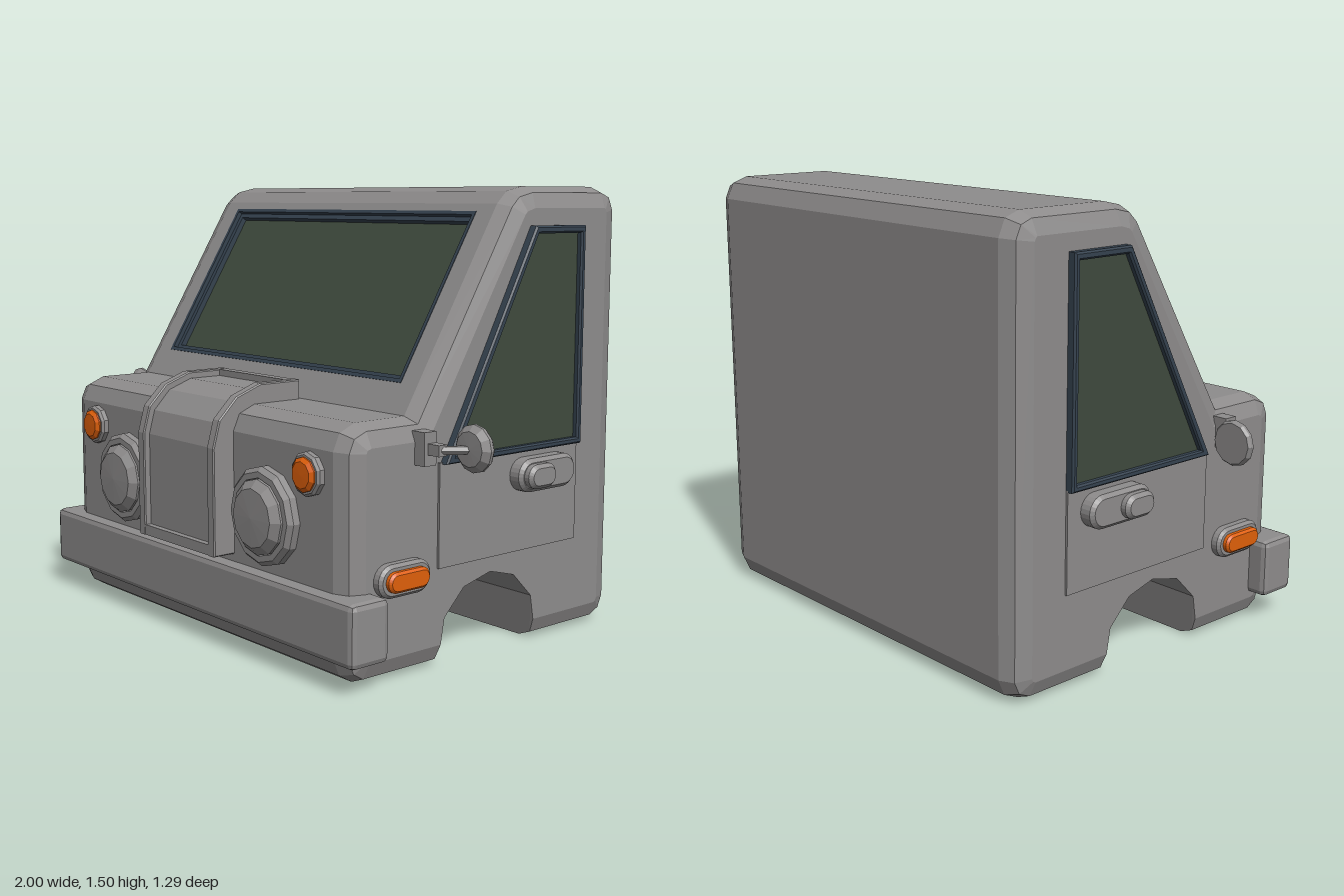
import * as THREE from 'three';
import { RoundedBoxGeometry } from 'three/addons/geometries/RoundedBoxGeometry.js';

const mat = (name, color) => {
  const m = new THREE.MeshStandardMaterial({ color });
  m.name = name;
  return m;
};

// Facet a geometry, optionally mirrored across x = 0
function flat(geo, mirrored = false) {
  const g = geo.index ? geo.toNonIndexed() : geo.clone();
  g.deleteAttribute('uv');
  g.clearGroups();
  if (mirrored) {
    const a = g.attributes.position;
    const v = new THREE.Vector3(), w = new THREE.Vector3();
    g.scale(-1, 1, 1);
    for (let i = 0; i < a.count; i += 3) {
      v.fromBufferAttribute(a, i + 1);
      w.fromBufferAttribute(a, i + 2);
      a.setXYZ(i + 1, w.x, w.y, w.z);
      a.setXYZ(i + 2, v.x, v.y, v.z);
    }
  }
  g.computeVertexNormals();
  return g;
}

// Side outlines are given as [z, y] and extruded along x from x0 to x1
const sidePoints = pts => pts.map(([z, y]) => new THREE.Vector2(-z, y));
function plate(outline, x0, x1, bevel = 0, hole = null) {
  const shape = outline instanceof THREE.Shape ? outline : new THREE.Shape(sidePoints(outline));
  if (hole) shape.holes.push(new THREE.Path(sidePoints(hole)));
  const g = new THREE.ExtrudeGeometry(shape, {
    depth: x1 - x0 - 2 * bevel, bevelEnabled: bevel > 0, bevelSize: bevel,
    bevelThickness: bevel, bevelOffset: -bevel, bevelSegments: 1, curveSegments: 6,
  });
  return g.rotateY(Math.PI / 2).translate(x0 + bevel, 0, 0);
}

function stadium(z, y, length, height) {
  const r = height / 2, h = length / 2 - r, s = new THREE.Shape();
  s.absarc(-z + h, y, r, -Math.PI / 2, Math.PI / 2);
  s.absarc(-z - h, y, r, Math.PI / 2, Math.PI * 1.5);
  return s;
}

const rect = (C, hw, y0, y1) => new C([[-hw, y0], [hw, y0], [hw, y1], [-hw, y1]].map(p => new THREE.Vector2(...p)));

// Round part turned about the z axis, profile as [radius, z]
const turned = (pts, sides, x, y, z) =>
  new THREE.LatheGeometry(pts.map(p => new THREE.Vector2(...p)), sides).rotateX(Math.PI / 2).translate(x, y, z);

const box = (w, h, d, x, y, z) => new THREE.BoxGeometry(w, h, d).translate(x, y, z);

function rod(a, b, r) {
  const A = new THREE.Vector3(...a), B = new THREE.Vector3(...b), d = B.clone().sub(A);
  const q = new THREE.Quaternion().setFromUnitVectors(new THREE.Vector3(0, 1, 0), d.clone().normalize());
  return new THREE.CylinderGeometry(r, r, d.length(), 6).applyQuaternion(q)
    .translate(...A.add(B).multiplyScalar(0.5).toArray());
}

// Shell profile: z, y at full size, then z, y on the inset side face
const SHELL = [
  [-.57, 0, -.56, .07], [-.26, 0, -.25, .07], [-.235, .155], [-.15, .24], [-.04, .27],
  [.08, .24], [.165, .155], [.19, 0, .18, .07], [.49, 0, .48, .07], [.54, .03, .49, .075],
  [.565, .09, .495, .085], [.565, .72, .495, .715], [.54, .775, .49, .725], [.48, .8, .475, .73],
  [.28, .8, .24, .73], [-.117, 1.445, -.175, 1.41], [-.16, 1.485, -.185, 1.42],
  [-.23, 1.5, -.22, 1.43], [-.57, 1.5, -.565, 1.43], [-.625, 1.48, -.57, 1.425],
  [-.65, 1.425, -.575, 1.415], [-.65, .08, -.575, .085], [-.625, .025, -.57, .075],
];
const SCREEN = 14; // profile segment that holds the windscreen

function shellGeometry() {
  const n = SHELL.length, pos = [];
  const rings = [[-.79, 1], [-.77, .29], [-.72, 0], [.72, 0], [.77, .29], [.79, 1]].map(([x, t]) =>
    SHELL.map(([z, y, qz = z, qy = y]) => [x, y + (qy - y) * t, z + (qz - z) * t]));
  for (let r = 0; r < rings.length - 1; r++) {
    const a = rings[r], b = rings[r + 1];
    for (let i = 0; i < n; i++) {
      const j = (i + 1) % n;
      if (r === 2 && i === SCREEN) continue; // left open for the windscreen panel
      pos.push(...a[i], ...b[i], ...b[j], ...a[i], ...b[j], ...a[j]);
    }
  }
  // Side faces
  for (const [ring, side] of [[rings[0], -1], [rings[5], 1]]) {
    const contour = ring.map(p => new THREE.Vector2(p[2], p[1]));
    for (const f of THREE.ShapeUtils.triangulateShape(contour, [])) {
      let [a, b, c] = f.map(i => ring[i]);
      const nx = (b[1] - a[1]) * (c[2] - a[2]) - (b[2] - a[2]) * (c[1] - a[1]);
      if (nx * side < 0) [b, c] = [c, b];
      pos.push(...a, ...b, ...c);
    }
  }
  const g = new THREE.BufferGeometry();
  g.setAttribute('position', new THREE.Float32BufferAttribute(pos, 3));
  return g;
}

export function createModel() {
  const root = new THREE.Group();
  root.name = 'truckCab';
  const grey = mat('body grey', 0x8e8c8c);
  const trim = mat('window trim blue', 0x35424f);
  const glass = mat('window glass', 0x3f4a3d);
  const orange = mat('signal orange', 0xe0600a);

  const add = (name, geo, material, parent = root) => {
    const m = new THREE.Mesh(flat(geo), material);
    m.name = name;
    parent.add(m);
  };
  const pair = (name, geo, material) => {
    add(name + 'Left', geo, material);
    const m = new THREE.Mesh(flat(geo, true), material);
    m.name = name + 'Right';
    root.add(m);
  };

  // Cab shell
  add('cabShell', shellGeometry(), grey);

  // Sloped windscreen panel with a recessed, stepped frame
  const [z0, y0] = SHELL[SCREEN], [z1, y1] = SHELL[SCREEN + 1];
  const screen = new THREE.Group();
  screen.name = 'windscreen';
  screen.position.set(0, y0, z0);
  screen.rotation.x = -Math.atan2(z0 - z1, y1 - y0);
  root.add(screen);
  const panel = rect(THREE.Shape, .72, 0, Math.hypot(z0 - z1, y1 - y0));
  panel.holes.push(rect(THREE.Path, .645, .106, .728));
  add('windscreenSurround', new THREE.ShapeGeometry(panel), grey, screen);
  [[.645, .632, .002], [.634, .615, -.014]].forEach(([o, i, top], k) => {
    const ring = rect(THREE.Shape, o, .751 - o, .083 + o);
    ring.holes.push(rect(THREE.Path, i, .751 - i, .083 + i));
    const g = new THREE.ExtrudeGeometry(ring, { depth: .05 + top, bevelEnabled: false }).translate(0, 0, -.05);
    add('windscreenFrame' + (k + 1), g, trim, screen);
  });
  add('windscreenGlass', new THREE.PlaneGeometry(1.25, .59).translate(0, .417, -.034), glass, screen);

  // Doors, side windows and handles
  pair('door', plate([[.2, .32], [-.44, .32], [-.44, .655], [.2, .655]], .78, .798), grey);
  pair('sideWindowFrame', plate([[.19, .65], [-.44, .65], [-.44, 1.375], [-.2, 1.375]], .78, .82, .006,
    [[.15, .672], [-.418, .672], [-.418, 1.35], [-.213, 1.35]]), trim);
  pair('sideWindowGlass', plate([[.17, .66], [-.43, .66], [-.43, 1.36], [-.205, 1.36]], .792, .8), glass);
  pair('handlePlate', plate(stadium(-.25, .575, .27, .11), .78, .848, .012), grey);
  pair('handleGrip', plate(stadium(-.195, .575, .13, .08), .83, .878, .012), grey);

  // Side marker lamps
  pair('markerHousing', plate(stadium(.358, .32, .215, .105), .78, .822, .01), grey);
  pair('markerLamp', plate(stadium(.358, .32, .17, .065), .81, .842, .008), orange);

  // Bumper
  add('bumper', new RoundedBoxGeometry(1.72, .2, .15, 1, .02).translate(0, .19, .535), grey);

  // Radiator cover: recessed panel with a raised rim
  const rim = [[.29, .78], [.5, .6], [.5, .315], [.645, .315], [.645, .67], [.62, .76], [.55, .83], [.455, .865], [.29, .865]];
  const inner = [[.3, .78], [.5, .6], [.5, .33], [.622, .33], [.622, .665], [.6, .745], [.538, .81], [.45, .842], [.3, .842]];
  pair('radiatorRim', plate(rim, .185, .223, .004), grey);
  add('radiatorPanel', plate(inner, -.19, .19), grey);
  add('radiatorRimBottom', box(.38, .035, .13, 0, .3335, .579), grey);
  add('radiatorRimTop', box(.38, .07, .035, 0, .829, .3085), grey);

  // Headlights and turn signals
  pair('headlightRing', turned([[.15, 0], [.16, .01], [.16, .035], [.145, .05], [.125, .05], [.12, .03]], 12, .405, .475, .555), grey);
  pair('headlightLens', turned([[.122, .02], [.122, .055], [.095, .078], [0, .082]], 12, .405, .475, .555), grey);
  pair('turnSignalRing', turned([[.07, 0], [.07, .022], [.062, .03], [.052, .03]], 10, .615, .64, .56), grey);
  pair('turnSignalLamp', turned([[.055, .01], [.055, .035], [.042, .045], [0, .046]], 10, .615, .64, .56), orange);

  // Wing mirrors
  pair('mirrorBracket', box(.055, .105, .05, .805, .712, .275), grey);
  pair('mirrorArm', box(.06, .035, .035, .85, .712, .268), grey);
  pair('mirrorStay', rod([.87, .712, .268], [.92, .712, .195], .014), grey);
  pair('mirrorHead', turned([[0, 0], [.068, 0], [.075, .01], [.075, .02], [.055, .04], [0, .042]], 12, .925, .715, .165), grey);

  return root;
}
